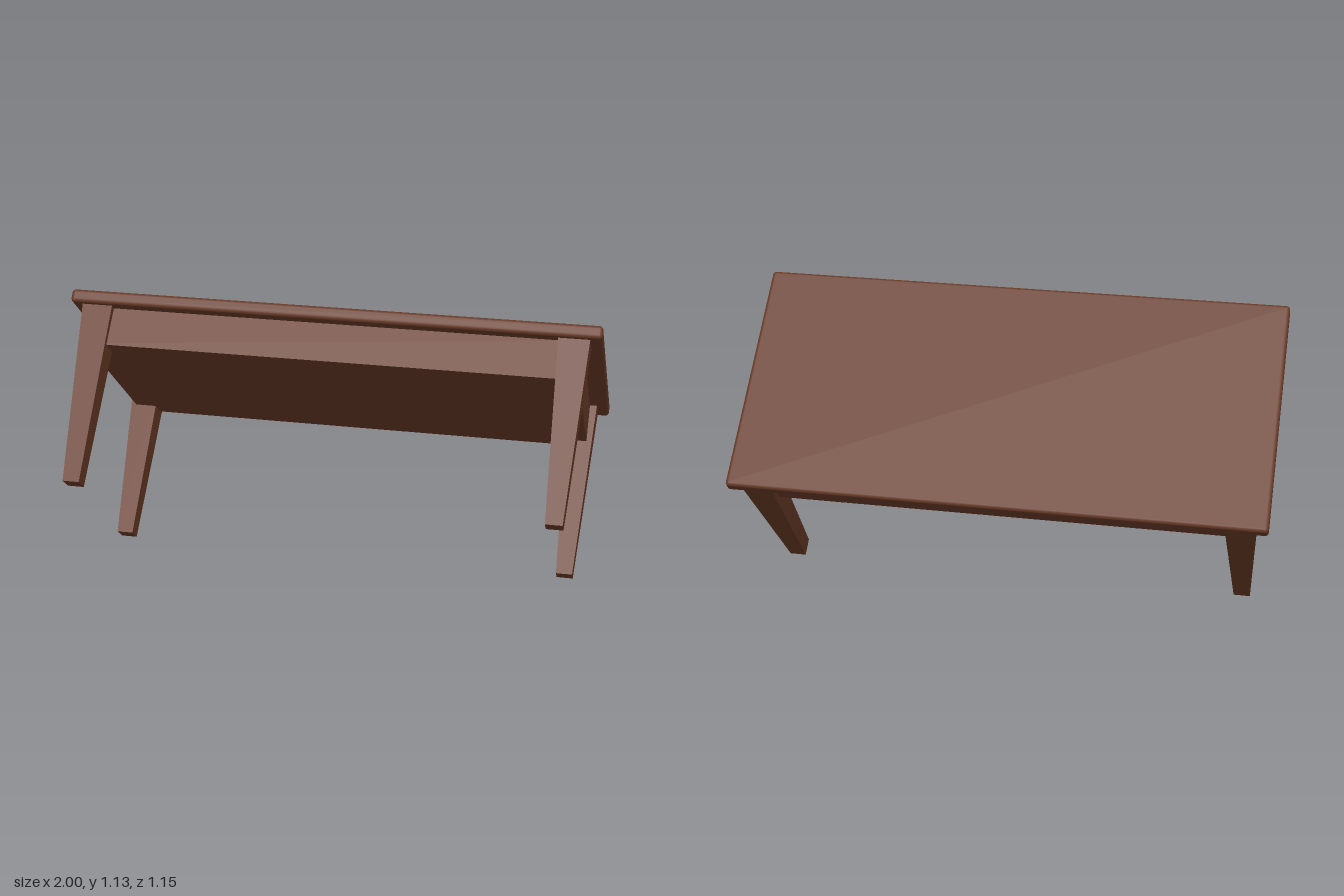
import * as THREE from 'three';
import { RoundedBoxGeometry } from 'three/addons/geometries/RoundedBoxGeometry.js';

const LEG = 0.678;

// Tapered square leg: top and foot each given as centre and width in x and z
function legGeometry(top, foot) {
  const g = new THREE.BoxGeometry(1, 1, 1);
  const p = g.attributes.position;
  for (let i = 0; i < p.count; i++) {
    const s = p.getY(i) > 0 ? top : foot;
    p.setXYZ(i, s.x + p.getX(i) * s.w, p.getY(i) > 0 ? 0.005 : -LEG, s.z + p.getZ(i) * s.d);
  }
  g.computeVertexNormals();
  return g;
}

export function createModel() {
  const wood = new THREE.MeshStandardMaterial({ color: 0x683a27 });
  wood.name = 'brownWood';

  const table = new THREE.Group();
  table.name = 'table';
  const add = (name, geometry, y = 0) => {
    const mesh = new THREE.Mesh(geometry, wood);
    mesh.name = name;
    mesh.position.y = y;
    table.add(mesh);
  };

  // Table top with softened edges, its underside at local y = 0
  add('tableTop', new RoundedBoxGeometry(1.98, 0.05, 0.907, 3, 0.014), 0.025);

  // Closed apron block under the top
  add('apron', new THREE.BoxGeometry(1.84, 0.15, 0.805), -0.071);

  // Four tapered legs, feet leaning very slightly backward
  for (const sx of [-1, 1]) {
    for (const sz of [-1, 1]) {
      const name = (sz > 0 ? 'front' : 'back') + (sx > 0 ? 'Left' : 'Right') + 'Leg';
      add(name, legGeometry(
        { x: sx * 0.89, z: sz * 0.377, w: 0.115, d: 0.106 },
        { x: sx * 0.884, z: sz * 0.374 - 0.016, w: 0.062, d: 0.066 },
      ));
    }
  }

  // The whole table is tipped, front edge up, with a small turn
  const xAxis = new THREE.Vector3(1, 0.005, 0.02).normalize();
  const zAxis = new THREE.Vector3(-0.018, 0.659, 0.752);
  const yAxis = zAxis.clone().cross(xAxis).normalize();
  zAxis.crossVectors(xAxis, yAxis);
  table.quaternion.setFromRotationMatrix(new THREE.Matrix4().makeBasis(xAxis, yAxis, zAxis));
  table.position.set(0, 0.794, -0.178);

  const model = new THREE.Group();
  model.name = 'tippedTable';
  model.add(table);
  return model;
}
